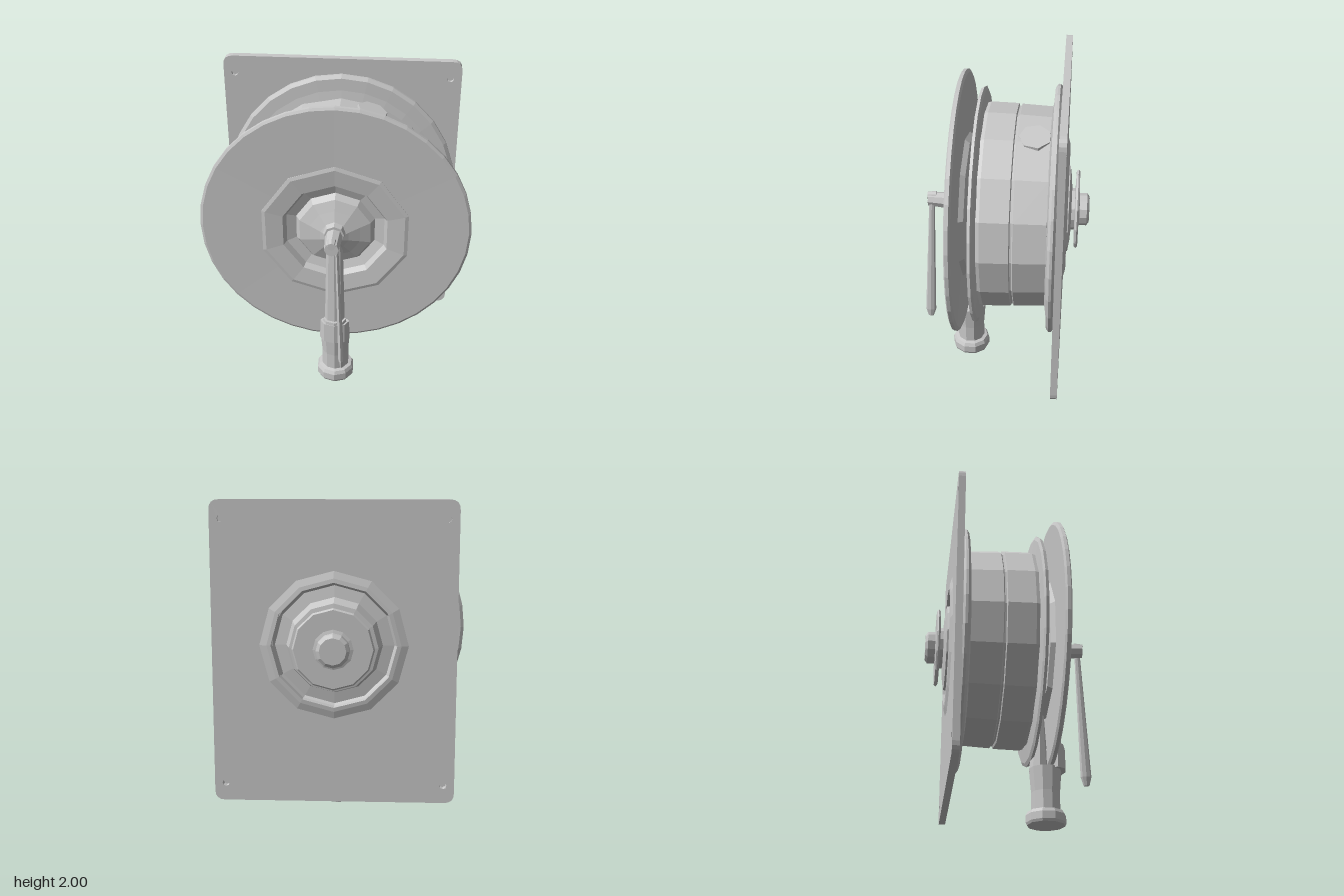
import * as THREE from 'three';

export function createModel() {
  const model = new THREE.Group();
  model.name = 'hoseReel';
  const grey = new THREE.MeshStandardMaterial({ color: 0xc8c8c8, flatShading: true, side: THREE.DoubleSide });
  grey.name = 'light grey metal';
  const AXIS = 1.145;

  const add = (name, geo, x = 0, y = 0, z = 0) => {
    const m = new THREE.Mesh(geo, grey);
    m.name = name;
    m.position.set(x, y, z);
    model.add(m);
    return m;
  };
  // Turned part around the z axis; profile is [radius, z]
  const turned = (name, pts, sides, y = AXIS) => {
    const g = new THREE.LatheGeometry(pts.map(p => new THREE.Vector2(p[0], p[1])), sides);
    g.rotateX(Math.PI / 2);
    return add(name, g, 0, y, 0);
  };
  // Tapered round bar between two points
  const bar = (name, a, b, rA, rB, sides, flatX = 1, flatZ = 1) => {
    const p = new THREE.Vector3(...a), q = new THREE.Vector3(...b);
    const d = q.clone().sub(p);
    const m = add(name, new THREE.CylinderGeometry(rB, rA, d.length(), sides));
    m.position.copy(p).add(q).multiplyScalar(0.5);
    m.quaternion.setFromUnitVectors(new THREE.Vector3(0, 1, 0), d.normalize());
    m.scale.set(flatX, 1, flatZ);
  };

  // Wall plate: rounded corners, four screw recesses, large hub opening
  const w = 0.728, y0 = 0.18, y1 = 2, c = 0.06;
  const s = new THREE.Shape();
  s.moveTo(-w + c, y0);
  s.lineTo(w - c, y0);
  s.quadraticCurveTo(w, y0, w, y0 + c);
  s.lineTo(w, y1 - c);
  s.quadraticCurveTo(w, y1, w - c, y1);
  s.lineTo(-w + c, y1);
  s.quadraticCurveTo(-w, y1, -w, y1 - c);
  s.lineTo(-w, y0 + c);
  s.quadraticCurveTo(-w, y0, -w + c, y0);
  const hole = (x, y, r, n) => {
    const pts = [];
    for (let i = 0; i < n; i++) {
      const a = -i / n * Math.PI * 2;
      pts.push(new THREE.Vector2(x + r * Math.cos(a), y + r * Math.sin(a)));
    }
    s.holes.push(new THREE.Path(pts));
  };
  for (const x of [-0.66, 0.66]) for (const y of [0.29, 1.89]) {
    hole(x, y, 0.022, 8);
    add('screwRecess', new THREE.CircleGeometry(0.022, 8), x, y, y > 1 ? -0.355 : -0.336);
  }
  hole(0, AXIS, 0.39, 12);
  add('wallPlate', new THREE.ExtrudeGeometry(s, { depth: 0.042, bevelEnabled: false, curveSegments: 4 }), 0, 0, -0.377);
  turned('plateRim', [[0.375, -0.335], [0.375, -0.393], [0.4, -0.39], [0.45, -0.375]], 12);

  // Stepped hub, washer and nut at the back, in a recess
  turned('backHub', [[0, -0.525], [0.08, -0.525], [0.1, -0.51], [0.1, -0.465], [0.12, -0.46],
    [0.235, -0.46], [0.245, -0.45], [0.235, -0.438], [0.13, -0.435], [0.13, -0.415], [0.2, -0.41],
    [0.265, -0.4], [0.29, -0.3], [0.36, -0.29], [0.38, -0.335]], 12, 1.135);

  // Rear flange, slightly taller than wide
  turned('rearFlange', [[0.4, -0.332], [0.77, -0.332], [0.785, -0.32], [0.785, -0.305], [0.765, -0.29],
    [0.69, -0.285], [0.6, -0.27]], 28, 1.125).scale.x = 0.93;

  // Drum with a groove round the middle
  turned('drum', [[0.6, -0.3], [0.62, -0.28], [0.63, -0.09], [0.618, -0.083], [0.618, -0.073],
    [0.633, -0.068], [0.637, 0.1], [0.62, 0.15]], 16);
  add('drumPatch', new THREE.CylinderGeometry(0.095, 0.1, 0.05, 7), 0.19, 1.715, -0.19).rotation.z = -0.3;

  // Front flange
  turned('frontFlange', [[0, 0.115], [0.62, 0.12], [0.715, 0.13], [0.738, 0.14], [0.73, 0.158],
    [0.6, 0.165], [0.3, 0.178], [0, 0.18]], 24, 1.14);

  // Large front disc and its dished hub
  turned('frontDisc', [[0.4, 0.242], [0.795, 0.24], [0.815, 0.25], [0.815, 0.27], [0.8, 0.278],
    [0.4, 0.274], [0.4, 0.242]], 36, 1.165);
  turned('frontDish', [[0, 0.17], [0.22, 0.175], [0.25, 0.2], [0.43, 0.212], [0.46, 0.25], [0.462, 0.277],
    [0.44, 0.283], [0.33, 0.272], [0.31, 0.235], [0.25, 0.215], [0.225, 0.255], [0.16, 0.278],
    [0.09, 0.305], [0.05, 0.325], [0, 0.325]], 10, 1.14);

  // Hose fitting at the bottom
  const foot = [[0, 0], [0.115, 0], [0.122, 0.015], [0.122, 0.06], [0.11, 0.082], [0.088, 0.088],
    [0.088, 0.2], [0.1, 0.35], [0, 0.37]];
  add('hoseFitting', new THREE.LatheGeometry(foot.map(p => new THREE.Vector2(...p)), 10), 0, 0, 0.23);
  bar('rearPipe', [0, 0.33, 0.19], [0, 0.7, 0.2], 0.06, 0.028, 8);

  // Front pipe and collar
  bar('collar', [0, 0.34, 0.295], [0, 0.48, 0.295], 0.095, 0.092, 8, 1, 0.65);
  bar('collarRing', [0, 0.45, 0.3], [0, 0.5, 0.3], 0.078, 0.072, 8, 1, 0.7);
  bar('frontPipe', [0, 0.45, 0.29], [0, 1.15, 0.29], 0.064, 0.048, 8, 1, 0.7);

  // Crank axle and hanging handle
  bar('crankBoss', [0, 1.165, 0.27], [0, 1.165, 0.335], 0.085, 0.06, 8);
  bar('crankAxle', [0, 1.155, 0.3], [-0.005, 1.16, 0.48], 0.055, 0.044, 8);
  bar('crankTip', [-0.005, 1.185, 0.43], [-0.005, 1.185, 0.485], 0.03, 0.024, 8);
  bar('crankHandle', [0.055, 0.33, 0.492], [0.025, 1.15, 0.456], 0.034, 0.018, 8, 0.55);
  bar('handleEnd', [0.057, 0.275, 0.494], [0.055, 0.33, 0.492], 0.018, 0.034, 8, 0.55);

  return model;
}
